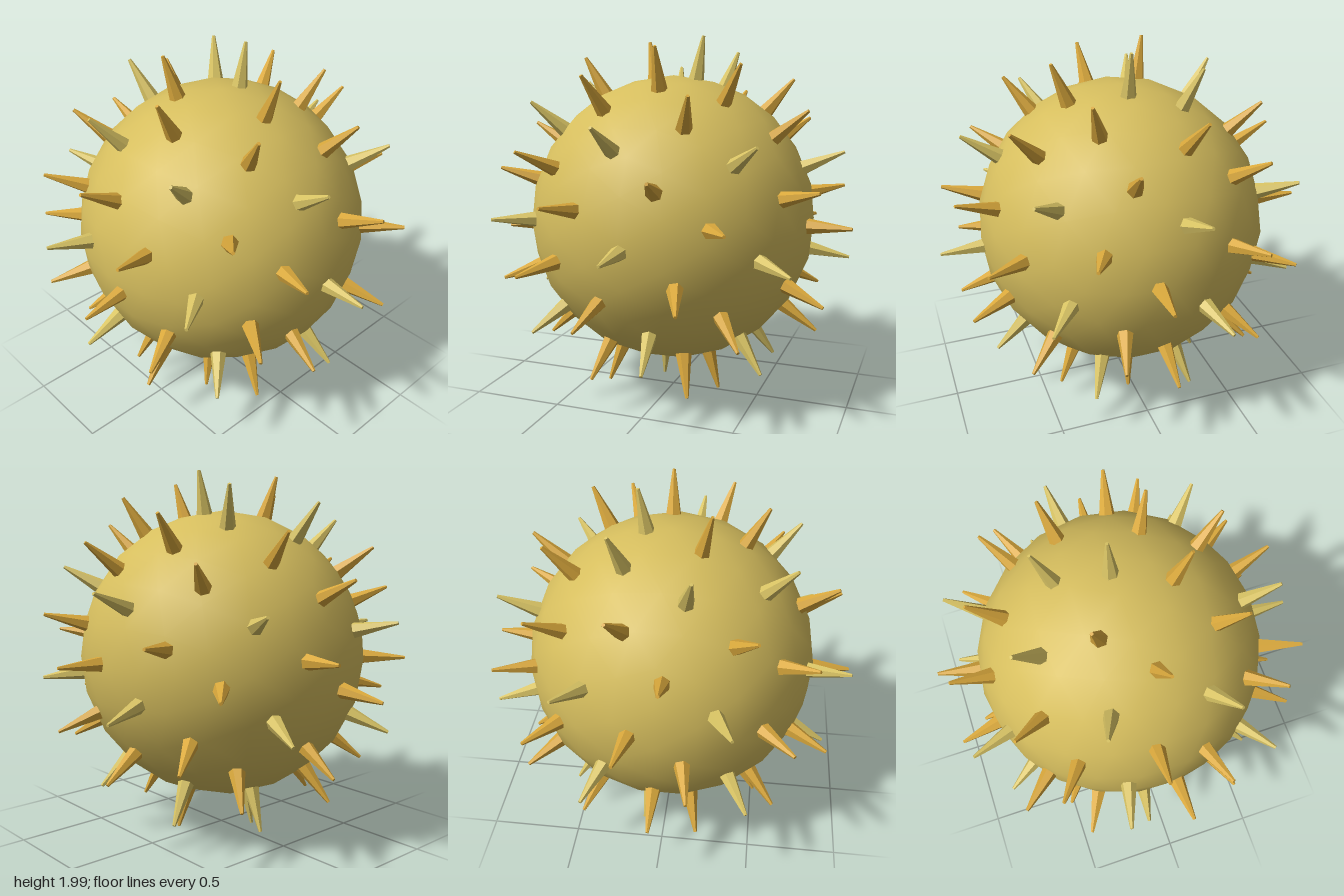
import * as THREE from 'three';
import { mergeVertices } from 'three/addons/utils/BufferGeometryUtils.js';

const SPIKES = 70;
const BODY_RADIUS = 0.784;
const TIP_RADIUS = 1.006; // distance from the centre to each spike tip
const ROOT_RADIUS = 0.75; // spikes start slightly inside the body

export function createModel() {
  const group = new THREE.Group();
  group.name = 'spikyBall';

  const material = (name, color, flatShading = false) => {
    const m = new THREE.MeshStandardMaterial({ color, flatShading });
    m.name = name;
    return m;
  };
  const bodyMat = material('mustard', 0xd6be5e);
  const paleMat = material('paleGold', 0xd8c364, true);
  const amberMat = material('amber', 0xd9a83c, true);

  // Round body: coarse geodesic sphere with smooth normals
  const ball = new THREE.IcosahedronGeometry(BODY_RADIUS, 3);
  ball.deleteAttribute('uv');
  const body = new THREE.Mesh(mergeVertices(ball), bodyMat);
  body.name = 'body';
  group.add(body);

  // Blunt six-sided spikes spread evenly on a golden-angle spiral
  const length = TIP_RADIUS - ROOT_RADIUS;
  const spikeGeo = new THREE.CylinderGeometry(0.009, 0.046, length, 6);
  spikeGeo.translate(0, ROOT_RADIUS + length / 2, 0);
  const golden = Math.PI * (3 - Math.sqrt(5));
  const up = new THREE.Vector3(0, 1, 0);
  for (let i = 0; i < SPIKES; i++) {
    const y = 1 - (2 * i + 1) / SPIKES;
    const r = Math.sqrt(1 - y * y);
    const dir = new THREE.Vector3(r * Math.cos(golden * i), y, -r * Math.sin(golden * i));
    const spike = new THREE.Mesh(spikeGeo, i % 3 === 0 ? paleMat : amberMat);
    spike.name = 'spike' + (i + 1);
    spike.quaternion.setFromUnitVectors(up, dir);
    group.add(spike);
  }

  // Stand the lowest spike on the ground and centre the outline
  group.children.forEach((c) => c.position.set(-0.003, 0.993, -0.008));
  return group;
}
